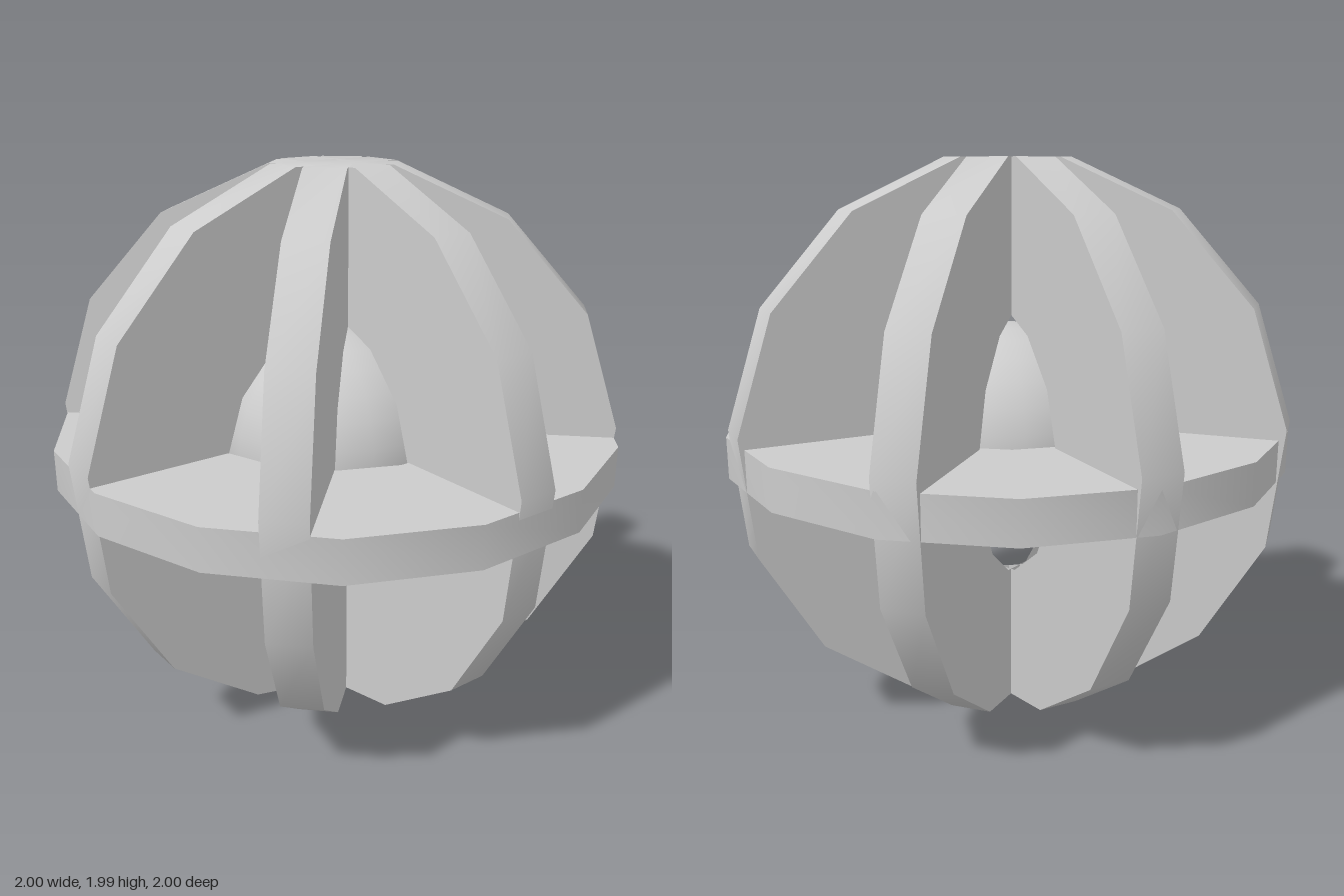
import * as THREE from 'three';
import { toCreasedNormals } from 'three/addons/utils/BufferGeometryUtils.js';

const SIDES = 15, OUTER = 1.0055, INNER = 0.503, THICK = 0.145, CENTER = 1.0055;

// Corners of a regular polygon with a flat side at the top
function polygon(radius) {
  return Array.from({ length: SIDES }, (_, i) => {
    const a = ((i + 0.5) / SIDES) * Math.PI * 2;
    return new THREE.Vector2(Math.sin(a) * radius, Math.cos(a) * radius);
  });
}

// Flat, wide ring: rounded rims, sharp edges
function ringGeometry() {
  const shape = new THREE.Shape(polygon(OUTER));
  shape.holes.push(new THREE.Path(polygon(INNER)));
  const geometry = new THREE.ExtrudeGeometry(shape, { depth: THICK, bevelEnabled: false });
  geometry.translate(0, 0, -THICK / 2);
  return toCreasedNormals(geometry, Math.PI / 6);
}

export function createModel() {
  const model = new THREE.Group();
  model.name = 'ringedSphere';
  const material = new THREE.MeshStandardMaterial({ color: 0xcccccc });
  const ring = ringGeometry();

  // Four upright rings, 45 degrees apart
  for (let i = 0; i < 4; i++) {
    const upright = new THREE.Mesh(ring, material);
    upright.name = `uprightRing${i + 1}`;
    upright.position.y = CENTER;
    upright.rotation.y = (i * Math.PI) / 4;
    model.add(upright);
  }

  // Level ring around the middle
  const level = new THREE.Mesh(ring, material);
  level.name = 'levelRing';
  level.position.set(0, 1.002, 0.01);
  level.rotation.x = Math.PI / 2;
  model.add(level);

  // Core ball
  const core = new THREE.Mesh(new THREE.SphereGeometry(0.414, 20, 14), material);
  core.name = 'coreBall';
  core.position.y = 1;
  model.add(core);

  return model;
}
